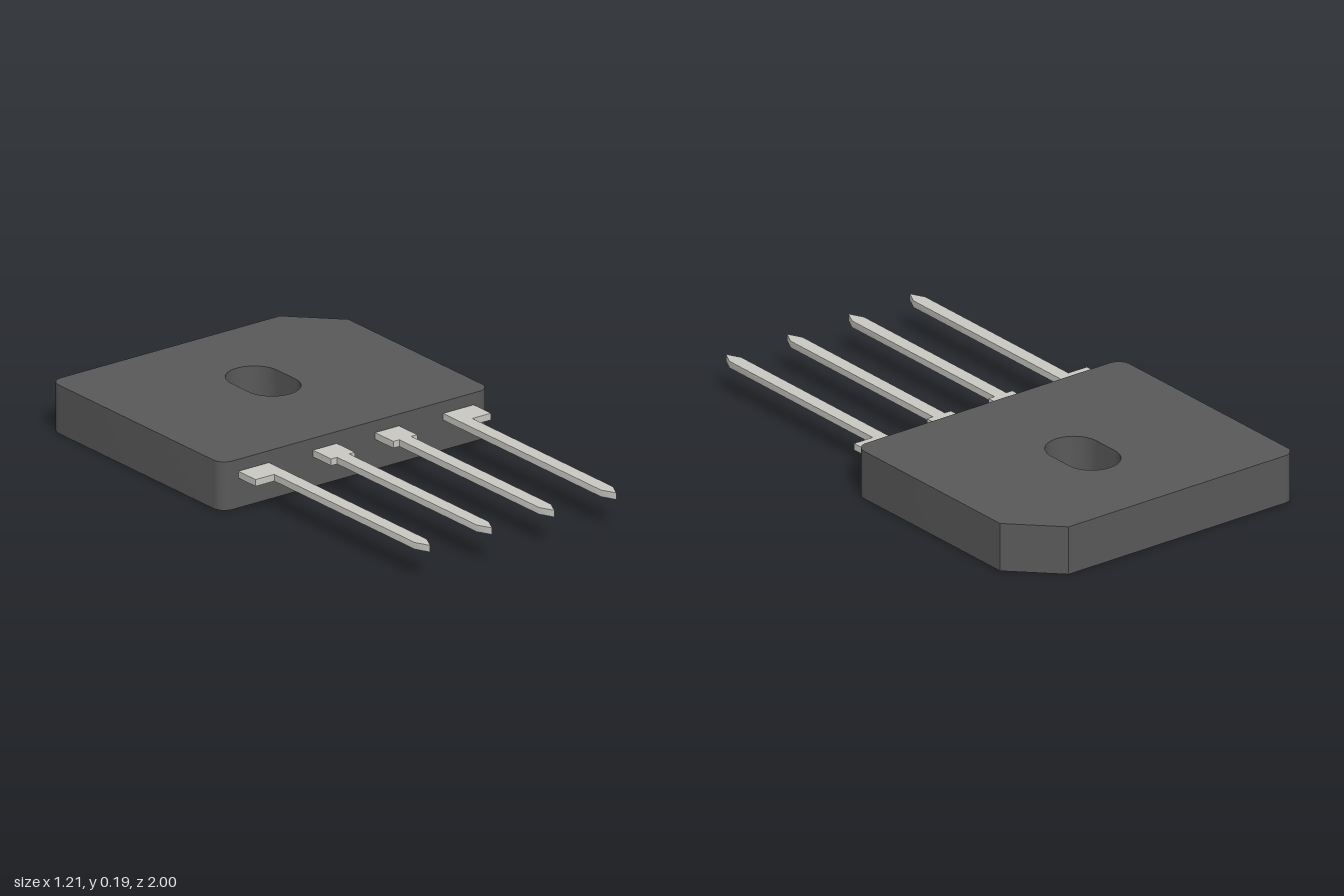
import * as THREE from 'three';
import { toCreasedNormals } from 'three/addons/utils/BufferGeometryUtils.js';

const bodyMaterial = new THREE.MeshStandardMaterial({ color: 0x595959 });
const pinMaterial = new THREE.MeshStandardMaterial({ color: 0xc9c8c3 });

// Extrudes a plan outline (x, -z) upwards from height y.
function slab(name, shape, y, height, material) {
  const extruded = new THREE.ExtrudeGeometry(shape, { depth: height, bevelEnabled: false, curveSegments: 12 });
  extruded.rotateX(-Math.PI / 2).translate(0, y, 0);
  const mesh = new THREE.Mesh(toCreasedNormals(extruded, 0.5), material);
  mesh.name = name;
  return mesh;
}

// Rounded block with one chamfered corner and a mounting slot
function bodyShape() {
  const w = 0.605, front = -0.013, back = 1, r = 0.05, c = 0.175;
  const shape = new THREE.Shape();
  shape.moveTo(w, front + r);
  shape.lineTo(w, back - c);
  shape.lineTo(w - c, back);
  shape.lineTo(-w + r, back);
  shape.absarc(-w + r, back - r, r, Math.PI / 2, Math.PI, false);
  shape.lineTo(-w, front + r);
  shape.absarc(-w + r, front + r, r, Math.PI, Math.PI * 1.5, false);
  shape.lineTo(w - r, front);
  shape.absarc(w - r, front + r, r, Math.PI * 1.5, Math.PI * 2, false);

  const s = 0.104, near = 0.379 + s, far = 0.692 - s;
  const slot = new THREE.Path();
  slot.moveTo(s, near);
  slot.absarc(0, near, s, 0, -Math.PI, true);
  slot.lineTo(-s, far);
  slot.absarc(0, far, s, Math.PI, 0, true);
  slot.lineTo(s, near);
  shape.holes.push(slot);
  return shape;
}

// Flat pin with a wide shoulder and a pointed tip
function pinShape(x, inner, outer, shoulder) {
  const h = 0.027;
  return new THREE.Shape([
    [inner, 0.03], [inner, -shoulder], [x - h, -shoulder], [x - h, -0.945],
    [x, -1], [x + h, -0.945], [x + h, -shoulder], [outer, -shoulder], [outer, 0.03],
  ].map(([px, py]) => new THREE.Vector2(px, py)));
}

export function createModel() {
  const model = new THREE.Group();
  model.name = 'rectifierPackage';
  model.add(slab('body', bodyShape(), 0, 0.187, bodyMaterial));

  // Two pins per side, mirrored about x = 0
  const pins = [
    { name: 'InnerPin', x: 0.14, inner: 0.086, outer: 0.194, shoulder: 0.12 },
    { name: 'OuterPin', x: 0.419, inner: 0.392, outer: 0.53, shoulder: 0.115 },
  ];
  for (const { name, x, inner, outer, shoulder } of pins) {
    model.add(slab('left' + name, pinShape(x, inner, outer, shoulder), 0.115, 0.026, pinMaterial));
    model.add(slab('right' + name, pinShape(-x, -outer, -inner, shoulder), 0.115, 0.026, pinMaterial));
  }
  return model;
}
